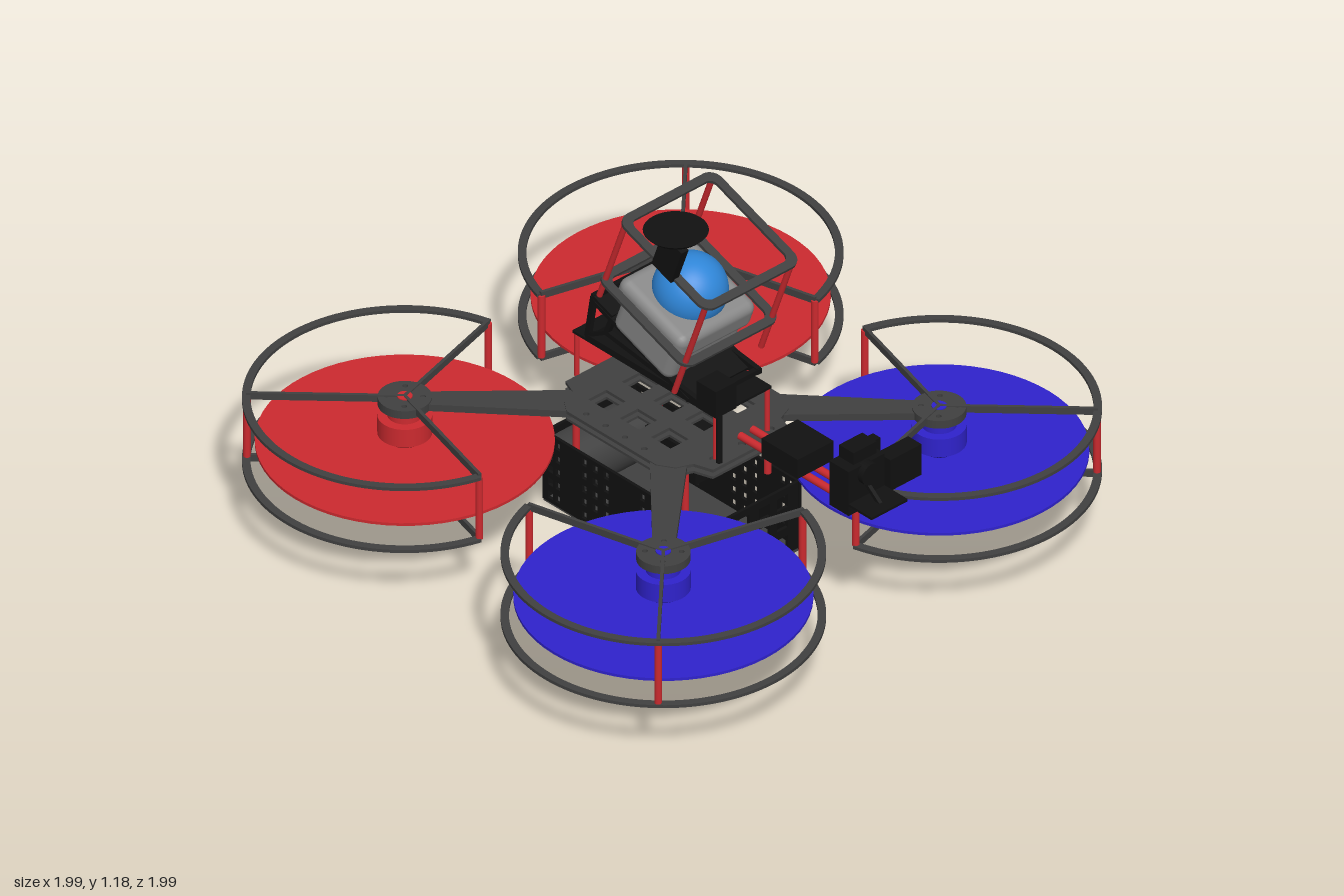
import * as THREE from 'three';
import { RoundedBoxGeometry } from 'three/addons/geometries/RoundedBoxGeometry.js';

const mat = (color) => new THREE.MeshStandardMaterial({ color });
const RED = mat(0xcc2a2f), BLUE = mat(0x2f22cc), BLACK = mat(0x111111);
const DARK = mat(0x404040), GREY = mat(0x888888), DOME = mat(0x2f86d8);

function add(parent, name, geo, material, x = 0, y = 0, z = 0) {
  const m = new THREE.Mesh(geo, material);
  m.name = name;
  m.position.set(x, y, z);
  parent.add(m);
  return m;
}
// box given by its centre and size
const box = (p, name, material, x, y, z, w, h, d) =>
  add(p, name, new THREE.BoxGeometry(w, h, d), material, x, y, z);
const cyl = (p, name, material, x, y, z, r, h, r2 = r, n = 32) =>
  add(p, name, new THREE.CylinderGeometry(r2, r, h, n), material, x, y, z);
// straight bar between two points
function bar(p, name, material, a, b, w, d = w) {
  const A = new THREE.Vector3(...a), B = new THREE.Vector3(...b);
  const m = box(p, name, material, 0, 0, 0, w, A.distanceTo(B), d);
  m.position.copy(A).add(B).multiplyScalar(0.5);
  m.quaternion.setFromUnitVectors(new THREE.Vector3(0, 1, 0), B.sub(A).normalize());
  return m;
}
const extrude = (shape, depth) =>
  new THREE.ExtrudeGeometry(shape, { depth, bevelEnabled: false, curveSegments: 40 });
// flat horizontal plate from a shape drawn in x and -z
const flat = (shape, depth) => extrude(shape, depth).rotateX(-Math.PI / 2);

function rectPath(P, x, y, w, h) {
  const s = new P();
  s.moveTo(x - w / 2, y - h / 2).lineTo(x + w / 2, y - h / 2);
  s.lineTo(x + w / 2, y + h / 2).lineTo(x - w / 2, y + h / 2).closePath();
  return s;
}
function grille(w, h, cols, rows, hw, hh) {
  const s = rectPath(THREE.Shape, 0, 0, w, h);
  for (const x of cols) for (const y of rows) s.holes.push(rectPath(THREE.Path, x, y, hw, hh));
  return extrude(s, 0.01);
}
function roundRect(P, w, h, r) {
  const s = new P(), x = w / 2 - r, y = h / 2 - r;
  s.absarc(x, y, r, 0, Math.PI / 2).absarc(-x, y, r, Math.PI / 2, Math.PI);
  s.absarc(-x, -y, r, Math.PI, 1.5 * Math.PI).absarc(x, -y, r, 1.5 * Math.PI, 2 * Math.PI);
  s.closePath();
  return s;
}
const circleHole = (x, y, r) => new THREE.Path().absarc(x, y, r, 0, Math.PI * 2);

// guarded rotor; local +x points away from the body
function rotor(color) {
  const g = new THREE.Group(), end = Math.PI * 2 / 3;
  const arc = new THREE.Shape();
  arc.absarc(0, 0, 0.461, -end, end, false);
  arc.absarc(0, 0, 0.437, end, -end, true);
  arc.closePath();
  for (const y of [0.203, 0.415]) {
    add(g, 'guardRing', flat(arc, 0.01), DARK, 0, y, 0);
    for (const a of [-end, 0, end]) {
      const c = Math.cos(a), s = Math.sin(a);
      bar(g, 'guardSpoke', DARK, [0, y + 0.005, 0], [0.45 * c, y + 0.005, 0.45 * s], 0.022, 0.01)
        .rotation.set(0, -a, Math.PI / 2, 'YXZ');
    }
  }
  for (const a of [-end, 0, end])
    cyl(g, 'guardPost', RED, 0.447 * Math.cos(a), 0.314, 0.447 * Math.sin(a), 0.011, 0.21, 0.011, 12);
  cyl(g, 'propellerDisc', color, 0, 0.276, 0, 0.425, 0.009, 0.425, 64);
  cyl(g, 'motorBell', color, 0, 0.334, 0, 0.078, 0.06);
  cyl(g, 'motorBase', color, 0, 0.294, 0, 0.05, 0.022, 0.076);
  cyl(g, 'motorNeck', color, 0, 0.381, 0, 0.05, 0.04);
  cyl(g, 'motorHub', color, 0, 0.26, 0, 0.028, 0.035);
  cyl(g, 'motorShaft', color, 0, 0.235, 0, 0.014, 0.04);
  // tapered arm back to the body, with round motor mount
  const arm = new THREE.Shape();
  arm.moveTo(-0.5, -0.055).lineTo(-0.04, -0.032).lineTo(-0.04, 0.032).lineTo(-0.5, 0.055).closePath();
  add(g, 'arm', flat(arm, 0.022), DARK, 0, 0.4, 0);
  const mount = new THREE.Shape().absarc(0, 0, 0.077, 0, Math.PI * 2);
  for (let i = 0; i < 4; i++) mount.holes.push(circleHole(0.052 * Math.cos(i * Math.PI / 2), 0.052 * Math.sin(i * Math.PI / 2), 0.008));
  add(g, 'motorMount', flat(mount, 0.026), DARK, 0, 0.401, 0);
  cyl(g, 'shaftCap', color, 0, 0.42, 0, 0.022, 0.02);
  return g;
}

// slotted equipment tray with a drum at the -x end
function tray() {
  const g = new THREE.Group();
  const rows = [-0.09, -0.045, 0, 0.045, 0.09];
  const cols = [-0.31, -0.28, -0.17, -0.125, -0.08, 0.07, 0.115, 0.16, 0.275, 0.305];
  for (const z of [-0.181, 0.171]) add(g, 'traySide', grille(0.685, 0.23, cols, rows, 0.02, 0.024), BLACK, 0, 0.125, z);
  for (const x of [-0.342, 0.33])
    add(g, 'trayEnd', grille(0.36, 0.23, [-0.11, -0.04, 0.04, 0.11], [-0.07, 0, 0.07], 0.042, 0.042).rotateY(Math.PI / 2), BLACK, x, 0.125, 0);
  box(g, 'trayFloor', DARK, 0, 0.009, 0, 0.68, 0.01, 0.36);
  for (let i = 0; i < 8; i++) for (let j = 0; j < 4; j++)
    box(g, 'floorTile', BLACK, -0.294 + i * 0.084, 0.004, -0.132 + j * 0.088, 0.074, 0.008, 0.078);
  cyl(g, 'drum', DARK, -0.305, 0.125, 0.01, 0.095, 0.28).rotation.x = Math.PI / 2;
  return g;
}

// tilted sensor head in its cage
function sensorHead() {
  const g = new THREE.Group();
  g.position.set(0.075, 0.85, -0.01);
  g.rotation.z = -Math.PI / 9;
  add(g, 'dome', new THREE.SphereGeometry(0.11, 40, 28), DOME, 0, 0, 0.01);
  add(g, 'housing', new RoundedBoxGeometry(0.25, 0.17, 0.27, 3, 0.03), GREY, 0, -0.13, 0.01);
  add(g, 'housingCap', new RoundedBoxGeometry(0.285, 0.1, 0.3, 3, 0.03), GREY, 0, -0.06, 0.01);
  for (const y of [-0.055, 0.197]) {
    const s = roundRect(THREE.Shape, 0.395, 0.375, 0.04);
    s.holes.push(roundRect(THREE.Path, 0.34, 0.32, 0.025));
    add(g, 'cageFrame', flat(s, 0.01), DARK, 0, y, 0);
  }
  for (const x of [-0.176, 0.176]) for (const z of [-0.168, 0.168])
    cyl(g, 'cagePost', RED, x, x < 0 ? 0.04 : 0.01, z, 0.009, x < 0 ? 0.32 : 0.38, 0.009, 12);
  box(g, 'headPlate', BLACK, -0.01, -0.22, 0, 0.42, 0.014, 0.25);
  box(g, 'antennaMast', BLACK, 0.015, 0.262, 0.185, 0.085, 0.13, 0.028);
  return g;
}

export function createModel() {
  const model = new THREE.Group();
  model.name = 'quadcopter';
  for (const sx of [-1, 1]) for (const sz of [-1, 1]) {
    const r = rotor(sx < 0 ? RED : BLUE);
    r.name = 'rotor';
    r.position.set(sx * 0.535, 0, sz * 0.535);
    r.rotation.y = Math.atan2(-sz, sx);
    model.add(r);
    cyl(model, 'bodyPost', RED, sx * 0.225, 0.315, sz * 0.16, 0.011, 0.19, 0.011, 12);
    cyl(model, 'deckPost', RED, sx * 0.287, 0.495, sz * 0.1, 0.008, 0.15, 0.008, 12);
  }

  // body plates with lightening holes
  const outline = [[0.2, 0.25], [0.25, 0.22], [0.27, 0.17], [0.33, 0.15]];
  const plate = new THREE.Shape([
    ...outline, ...outline.map(([x, y]) => [x, -y]).reverse(),
    ...outline.map(([x, y]) => [-x * 0.85, -y]), ...outline.map(([x, y]) => [-x * 0.85, y]).reverse(),
  ].map(([x, y]) => new THREE.Vector2(x, y)));
  for (const x of [-0.12, -0.04, 0.04, 0.12]) for (const y of [-0.22, 0.22]) plate.holes.push(circleHole(x, y, 0.009));
  for (const x of [-0.13, 0, 0.13]) for (const y of [-0.13, 0, 0.13]) plate.holes.push(rectPath(THREE.Path, x, y, 0.08, 0.07));
  for (const y of [-0.11, 0, 0.11]) plate.holes.push(circleHole(0.29, y, 0.012));
  add(model, 'upperPlate', flat(plate, 0.01), DARK, 0, 0.415, 0);
  add(model, 'lowerPlate', flat(plate, 0.008), DARK, 0, 0.393, 0);
  box(model, 'controlBox', BLACK, 0.105, 0.342, 0.01, 0.21, 0.1, 0.19);
  const t = tray();
  t.name = 'tray';
  model.add(t);

  // raised deck and wedge-shaped stand
  box(model, 'deck', BLACK, 0, 0.57, 0, 0.59, 0.008, 0.22);
  for (const z of [-0.125, 0.105]) {
    const path = [[0.23, 0.583], [-0.235, 0.583], [-0.21, 0.73], [-0.13, 0.7], [-0.155, 0.635], [0.225, 0.585]];
    for (let i = 0; i < 5; i++) bar(model, 'standBar', BLACK, [...path[i], z], [...path[i + 1], z], 0.016);
    bar(model, 'standBrace', BLACK, [-0.155, 0.635, z], [-0.23, 0.59, z], 0.012);
  }
  for (const [x, y] of [[-0.235, 0.583], [-0.21, 0.73], [0.22, 0.583]])
    box(model, 'standCrossbar', BLACK, x, y, -0.01, 0.016, 0.016, 0.24);
  const head = sensorHead();
  head.name = 'sensorHead';
  model.add(head);
  cyl(model, 'antennaDisc', BLACK, 0.192, 1.178, 0.165, 0.08, 0.014, 0.094);

  // small receiver on a pole
  cyl(model, 'receiverPole', BLACK, 0.313, 0.52, 0.11, 0.01, 0.2, 0.01, 12);
  box(model, 'receiver', BLACK, 0.312, 0.66, 0.12, 0.08, 0.09, 0.08);

  // boom with electronics box and side camera
  for (const z of [-0.05, -0.003])
    cyl(model, 'boomRod', RED, 0.49, 0.446, z, 0.012, 0.42, 0.012, 12).rotation.z = Math.PI / 2;
  box(model, 'boomBox', BLACK, 0.493, 0.495, -0.025, 0.15, 0.065, 0.14);
  const cam = new THREE.Group();
  cam.name = 'camera';
  model.add(cam);
  box(cam, 'cameraMount', BLACK, 0.715, 0.47, -0.025, 0.05, 0.045, 0.1);
  box(cam, 'cameraBody', BLACK, 0.755, 0.53, -0.01, 0.08, 0.15, 0.14);
  box(cam, 'cameraTop', BLACK, 0.748, 0.62, -0.02, 0.06, 0.05, 0.09);
  box(cam, 'cameraSideMotor', BLACK, 0.775, 0.525, -0.155, 0.055, 0.105, 0.12);
  box(cam, 'cameraBackArm', BLACK, 0.735, 0.55, -0.09, 0.03, 0.15, 0.03);
  box(cam, 'cameraShelf', BLACK, 0.84, 0.492, -0.01, 0.1, 0.008, 0.14);
  bar(cam, 'cameraStrut', BLACK, [0.79, 0.54, -0.01], [0.85, 0.492, -0.01], 0.012);
  cyl(cam, 'cameraLens', BLACK, 0.8, 0.575, -0.01, 0.035, 0.03).rotation.z = Math.PI / 2;
  return model;
}
